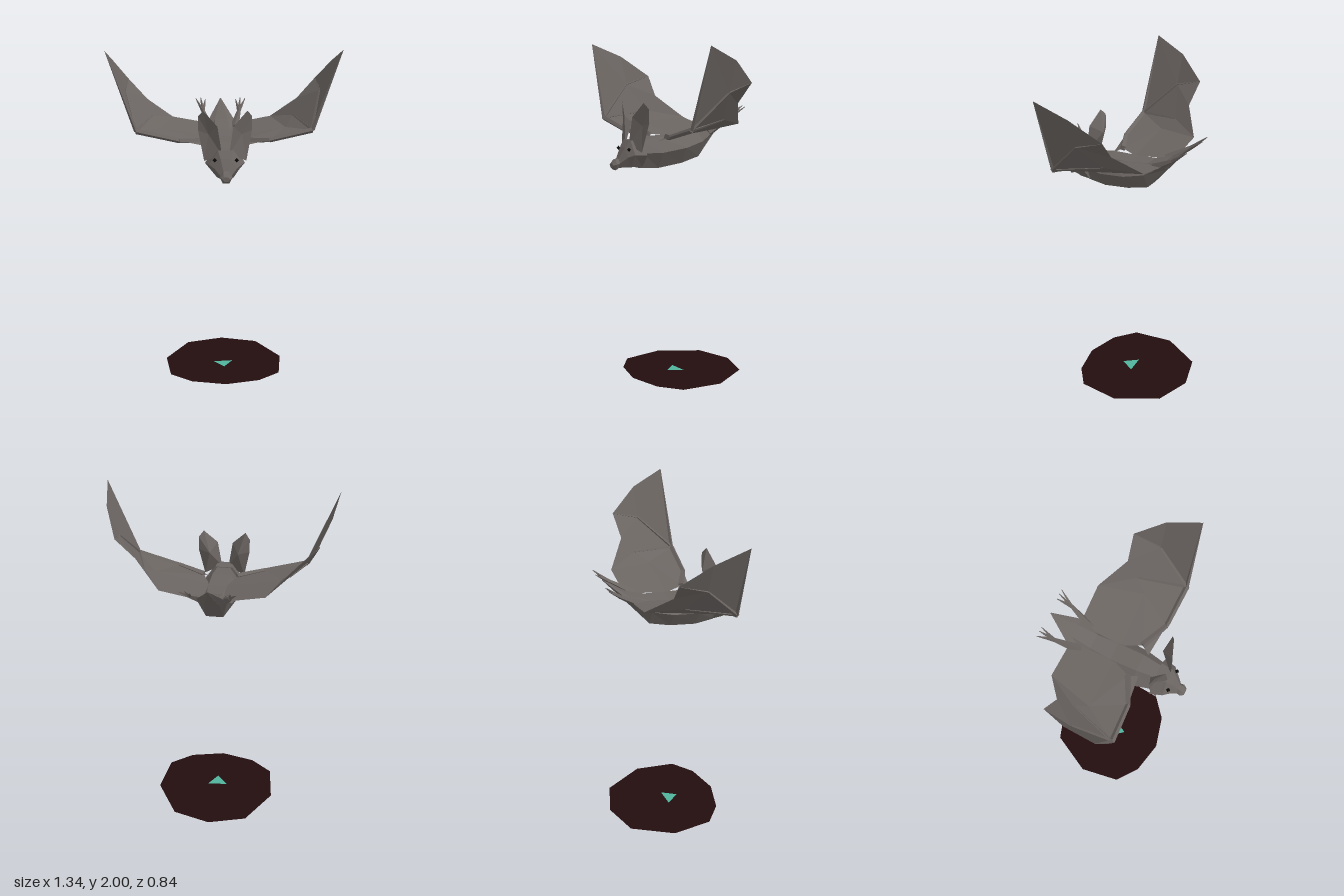
import * as THREE from 'three';

const fur = new THREE.MeshStandardMaterial({ color: 0x6b6562, flatShading: true, side: THREE.DoubleSide });
fur.name = 'greyBrownFur';
const black = new THREE.MeshStandardMaterial({ color: 0x0c0a0a, flatShading: true });
black.name = 'eyeBlack';
const maroon = new THREE.MeshStandardMaterial({ color: 0x240d0e, side: THREE.DoubleSide });
maroon.name = 'darkMaroon';
const teal = new THREE.MeshStandardMaterial({ color: 0x4fb39c, side: THREE.DoubleSide });
teal.name = 'teal';

function mesh(name, geometry, material) {
  const m = new THREE.Mesh(geometry, material);
  m.name = name;
  return m;
}

// Faceted surface from corner triples
function facets(tris) {
  const g = new THREE.BufferGeometry();
  g.setAttribute('position', new THREE.Float32BufferAttribute(tris.flat(2), 3));
  g.computeVertexNormals();
  return g;
}

// Six-sided skin over sections [z, top, middle, bottom, half width], front to back
function loft(sections) {
  const rings = sections.map(([z, t, m, b, w]) => [
    [w * 0.45, t, z], [-w * 0.45, t, z], [-w, m, z],
    [-w * 0.5, b, z], [w * 0.5, b, z], [w, m, z],
  ]);
  const tris = [];
  for (let i = 0; i < rings.length - 1; i++) {
    for (let j = 0; j < 6; j++) {
      const k = (j + 1) % 6, f = rings[i], r = rings[i + 1];
      tris.push([f[j], r[j], f[k]], [f[k], r[j], r[k]]);
    }
  }
  const a = rings[0], z = rings[rings.length - 1];
  for (let j = 1; j < 5; j++) tris.push([a[0], a[j], a[j + 1]], [z[0], z[j + 1], z[j]]);
  return facets(tris);
}

// Tapered four-sided rod between two points
function rod(name, a, b, ra, rb) {
  const p = new THREE.Vector3(...a), q = new THREE.Vector3(...b);
  const d = q.clone().sub(p);
  const m = mesh(name, new THREE.CylinderGeometry(rb, ra, d.length(), 4), fur);
  m.position.copy(p).add(q).multiplyScalar(0.5);
  m.quaternion.setFromUnitVectors(new THREE.Vector3(0, 1, 0), d.normalize());
  return m;
}

// s = 1 for the left side, -1 for the right
function wing(s) {
  const g = new THREE.Group();
  const P = (x, y, z) => [x * s, y, z];
  const rootFront = P(0.07, 1.44, 0.16), shoulder = P(0.1, 1.47, 0.11), fore = P(0.26, 1.485, 0.185);
  const wrist = P(0.505, 1.545, 0.2), tip = P(0.67, 2.0, 0.19);
  const edge1 = P(0.635, 1.92, 0), edge2 = P(0.56, 1.795, -0.16), edge3 = P(0.45, 1.675, -0.145);
  const edge4 = P(0.3, 1.545, -0.26), rootBack = P(0.06, 1.5, -0.26), rootMid = P(0.05, 1.465, 0);
  const palm = P(0.37, 1.525, 0), joint = P(0.42, 1.585, -0.07), knuckle = P(0.57, 1.745, 0);
  const tris = [
    [rootFront, fore, shoulder], [rootMid, shoulder, palm], [shoulder, fore, palm],
    [fore, wrist, palm], [wrist, joint, palm], [wrist, knuckle, joint],
    [wrist, tip, knuckle], [tip, edge1, knuckle], [edge1, edge2, knuckle],
    [edge2, edge3, knuckle], [edge3, joint, knuckle], [edge3, edge4, joint],
    [edge4, palm, joint], [edge4, rootMid, palm], [edge4, rootBack, rootMid],
  ];
  if (s < 0) tris.forEach((t) => t.reverse());
  g.add(mesh('wingMembrane', facets(tris), fur));
  // arm and finger bones
  g.add(rod('upperArm', shoulder, fore, 0.02, 0.014));
  g.add(rod('forearm', fore, wrist, 0.014, 0.016));
  g.add(rod('leadingFinger', wrist, tip, 0.012, 0.001));
  g.add(rod('middleFinger', wrist, knuckle, 0.012, 0.007));
  g.add(rod('middleFingerTip', knuckle, edge2, 0.007, 0.001));
  g.add(rod('innerFinger', wrist, joint, 0.01, 0.005));
  return g;
}

function ear(s) {
  const rim = [
    [0.02, 1.43, 0.32], [0.045, 1.59, 0.31], [0.125, 1.675, 0.28],
    [0.153, 1.64, 0.262], [0.153, 1.56, 0.26], [0.12, 1.39, 0.29],
  ].map(([x, y, z]) => [x * s, y, z]);
  const inside = [0.095 * s, 1.54, 0.272], back = [0.085 * s, 1.55, 0.238];
  const tris = [];
  rim.forEach((p, i) => {
    const q = rim[(i + 1) % rim.length];
    tris.push(s > 0 ? [inside, q, p] : [inside, p, q], s > 0 ? [back, p, q] : [back, q, p]);
  });
  return mesh('ear', facets(tris), fur);
}

function leg(s) {
  const g = new THREE.Group();
  const hip = [0.075 * s, 1.48, -0.2], ankle = [0.112 * s, 1.565, -0.335];
  g.add(rod('thigh', hip, ankle, 0.028, 0.012));
  for (const [x, y] of [[0.095, 1.625], [0.124, 1.635], [0.155, 1.63]]) {
    g.add(rod('toe', ankle, [x * s, y, -0.415], 0.012, 0.002));
  }
  return g;
}

export function createModel() {
  const model = new THREE.Group();
  model.name = 'flyingBat';

  const bat = new THREE.Group();
  bat.name = 'bat';
  bat.position.x = 0.01;
  model.add(bat);

  // torso running into the pointed tail
  bat.add(mesh('bodyAndTail', loft([
    [0.26, 1.45, 1.38, 1.29, 0.085],
    [0.14, 1.465, 1.38, 1.285, 0.115],
    [-0.02, 1.47, 1.4, 1.305, 0.12],
    [-0.145, 1.485, 1.43, 1.335, 0.1],
    [-0.26, 1.525, 1.505, 1.47, 0.09],
    [-0.405, 1.635, 1.633, 1.63, 0.003],
  ]), fur));

  // head with narrow muzzle and flared nose
  bat.add(mesh('head', loft([
    [0.425, 1.325, 1.315, 1.3, 0.022],
    [0.405, 1.345, 1.32, 1.285, 0.036],
    [0.385, 1.35, 1.325, 1.297, 0.032],
    [0.35, 1.415, 1.36, 1.3, 0.065],
    [0.32, 1.455, 1.375, 1.3, 0.095],
    [0.25, 1.455, 1.37, 1.3, 0.115],
  ]), fur));

  for (const s of [1, -1]) {
    const side = s > 0 ? 'left' : 'right';
    for (const [part, build] of [['Wing', wing], ['Ear', ear], ['Leg', leg]]) {
      const o = build(s);
      o.name = side + part;
      bat.add(o);
    }
    const eye = mesh(side + 'Eye', new THREE.OctahedronGeometry(0.013), black);
    eye.position.set(0.062 * s, 1.405, 0.342);
    bat.add(eye);
  }

  // ten-sided flat ground patch
  const half = [[0, -0.41], [0.225, -0.343], [0.365, -0.1], [0.335, 0.145], [0.205, 0.247], [0, 0.295]];
  const outline = [...half, ...half.slice(1, 5).reverse().map(([x, z]) => [-x, z])];
  const flat = (pts) => {
    const shape = new THREE.Shape(pts.map(([x, z]) => new THREE.Vector2(x, -z)));
    return new THREE.ShapeGeometry(shape).rotateX(-Math.PI / 2);
  };
  const ground = mesh('groundPatch', flat(outline), maroon);
  ground.position.x = 0.015;
  model.add(ground);

  // small marker at the middle of the patch
  const marker = mesh('groundMarker', flat([[0.07, -0.04], [0.015, 0.05], [-0.05, -0.03]]), teal);
  marker.position.y = 0.003;
  model.add(marker);

  return model;
}
